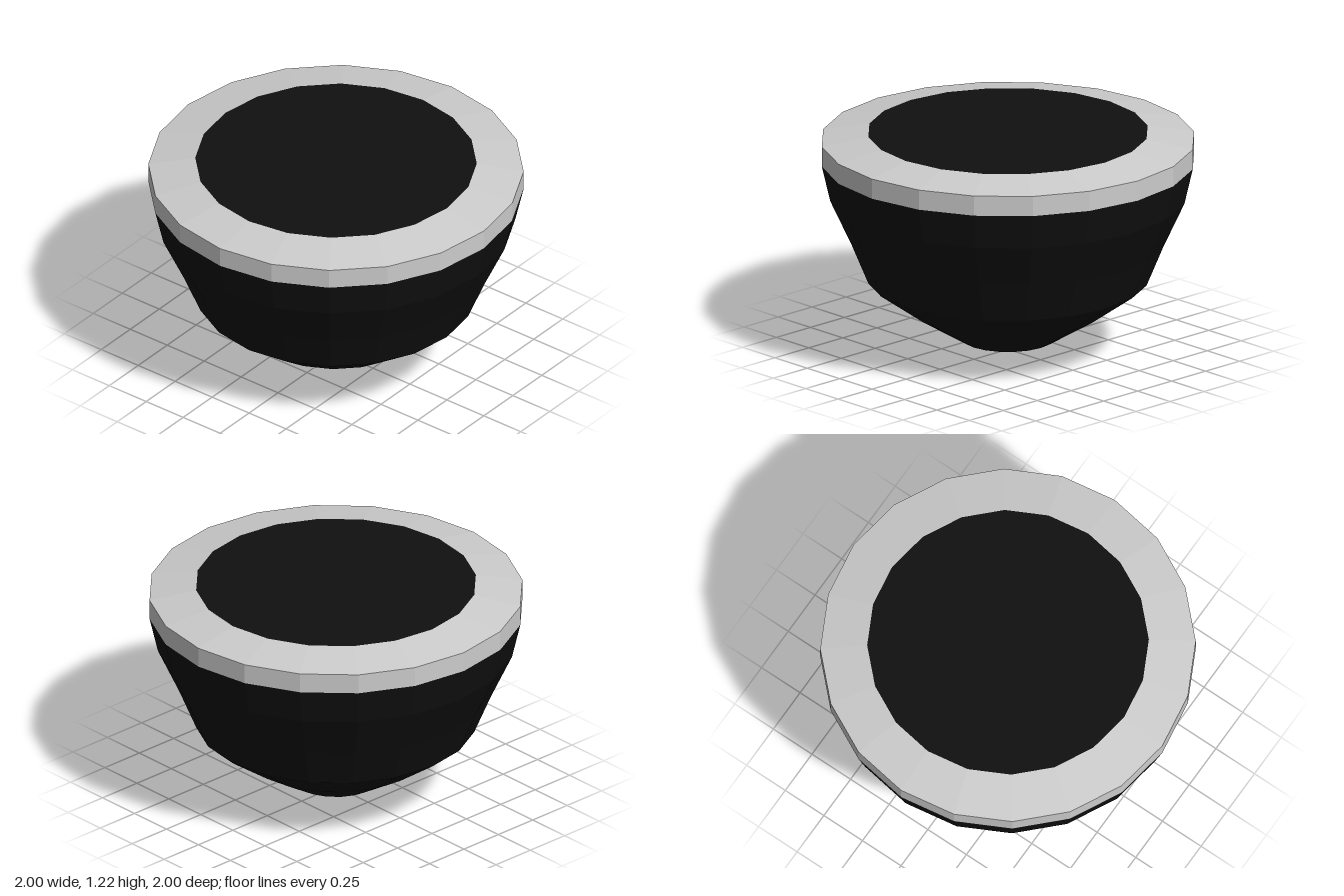
import * as THREE from 'three';

const SIDES = 20;

// Faceted solid of revolution from [radius, height] pairs, bottom to top
function turned(name, profile, color) {
  const points = profile.map(([r, y]) => new THREE.Vector2(r, y));
  const mesh = new THREE.Mesh(
    new THREE.LatheGeometry(points, SIDES),
    new THREE.MeshStandardMaterial({ color, flatShading: true })
  );
  mesh.name = name;
  return mesh;
}

export function createModel() {
  const group = new THREE.Group();
  group.name = 'roundedKnob';

  // Dark body tapering to a shallow point
  group.add(turned('body', [
    [0, 0], [0.25, 0.065], [0.5, 0.22], [0.75, 0.4],
    [0.84, 0.62], [0.955, 0.87], [1, 1.065],
  ], 0x101010));

  // Pale rim: upright band and sloping shoulder
  group.add(turned('rim', [[1, 1.065], [1, 1.175], [0.75, 1.22]], 0xcccccc));

  // Flat dark disc closing the top
  group.add(turned('topDisc', [[0.75, 1.22], [0, 1.22]], 0x101010));

  return group;
}
